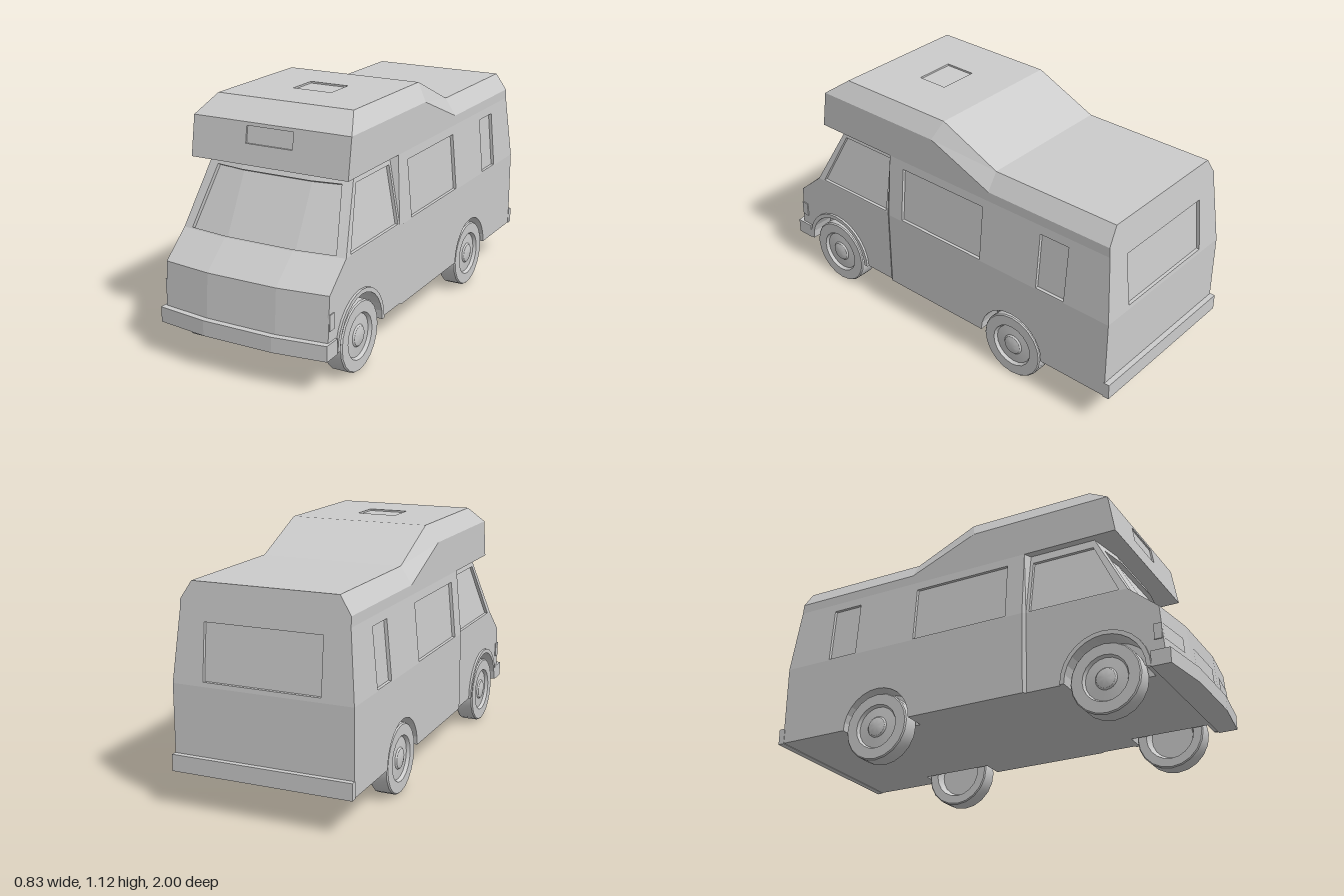
import * as THREE from 'three';
import { toCreasedNormals } from 'three/addons/utils/BufferGeometryUtils.js';

const shellMat = new THREE.MeshStandardMaterial({ color: 0xcccccc, flatShading: true, side: THREE.DoubleSide });
const solidMat = new THREE.MeshStandardMaterial({ color: 0xcccccc });
const FLOOR = 0.17, BELT = 0.55, EAVE = 0.86, NOSE_Y = 0.435;
const CAB_W = 0.405, CAB_TOP = 0.35, BODY_W = 0.415, BODY_TOP = 0.387, ROOF_W = 0.335;
const AXLES = [{ z: 0.675, r: 0.185, name: 'front' }, { z: -0.455, r: 0.175, name: 'rear' }];

const sub = (a, b) => a.map((v, i) => v - b[i]);
const add = (a, b) => a.map((v, i) => v + b[i]);
const dot = (a, b) => a[0] * b[0] + a[1] * b[1] + a[2] * b[2];
const cross = (a, b) => [a[1] * b[2] - a[2] * b[1], a[2] * b[0] - a[0] * b[2], a[0] * b[1] - a[1] * b[0]];

// Mesh from triangles, each turned to face along "out" (default: away from the cabin centre)
function mesh(name, tris, out) {
  const pos = [];
  for (const [a, b, c] of tris) {
    const dir = out || sub(a, [0, 0.55, Math.max(-0.7, Math.min(0.6, a[2]))]);
    const good = dot(cross(sub(b, a), sub(c, a)), dir) >= 0;
    pos.push(...a, ...(good ? b : c), ...(good ? c : b));
  }
  const g = new THREE.BufferGeometry();
  g.setAttribute('position', new THREE.Float32BufferAttribute(pos, 3));
  g.computeVertexNormals();
  const m = new THREE.Mesh(g, shellMat);
  m.name = name;
  return m;
}

// Triangles between consecutive rows of points
function loft(rows) {
  const t = [];
  for (let i = 0; i + 1 < rows.length; i++)
    for (let j = 0; j + 1 < rows[i].length; j++) {
      const a = rows[i][j], b = rows[i][j + 1], c = rows[i + 1][j + 1], d = rows[i + 1][j];
      t.push([a, b, c], [a, c, d]);
    }
  return t;
}

// Flat outline mapped into space; every hole becomes a recessed pane with reveals
function panel(name, outline, holes, map, out, depth = 0.015) {
  const g = new THREE.Group();
  g.name = name;
  const v2 = (l) => l.map(([u, v]) => new THREE.Vector2(u, v));
  const fill = (o, h, f) => {
    const all = [...o, ...h.flat()].map(([u, v]) => f(u, v));
    return THREE.ShapeUtils.triangulateShape(v2(o), h.map(v2)).map((t) => t.map((i) => all[i]));
  };
  g.add(mesh(name + 'Panel', fill(outline, holes, map), out));
  const inward = out.map((v) => -v * depth);
  for (const h of holes) {
    const rim = [...h, h[0]].map(([u, v]) => map(u, v));
    g.add(mesh(name + 'Reveal', loft([rim, rim.map((p) => add(p, inward))])));
    g.add(mesh(name + 'Pane', fill(h, [], (u, v) => add(map(u, v), inward)), out));
  }
  return g;
}

const rect = (u0, u1, v0, v1) => [[u0, v0], [u1, v0], [u1, v1], [u0, v1]];
const arc = (z, r, n = 14) => Array.from({ length: n + 1 }, (_, i) => {
  const a = Math.PI * i / n;
  return [z + r * Math.cos(a), FLOOR + r * Math.sin(a)];
});
const rearZ = (y) => -0.975 + Math.max(0, y - BELT) * 0.103;
const mix = (a, b, t) => a + (b - a) * t;
const upT = (y) => (y - BELT) / (EAVE - BELT);
// Front surfaces bow back towards the corners
const bowed = (x, y, z, w) => [x, y, z - 0.03 * Math.max(0, Math.abs(x) - 0.17) / (w - 0.17)];

function buildSide(s) {
  const g = new THREE.Group();
  g.name = s > 0 ? 'leftSide' : 'rightSide';
  const out = [s, 0, 0], [front, rear] = AXLES;
  const P = (x, y, z) => [s * x, y, z];
  // cab door and fender
  g.add(panel('cabLower', [[0.945, FLOOR], ...arc(front.z, front.r), [0.31, FLOOR], [0.31, BELT], [0.79, BELT], [0.925, NOSE_Y]], [],
    (u, v) => P(CAB_W, v, u), out));
  g.add(panel('cabWindow', [[0.31, BELT], [0.79, BELT], [0.625, EAVE], [0.31, EAVE]],
    [[[0.75, 0.555], [0.62, 0.82], [0.325, 0.82], [0.325, 0.555]]],
    (u, v) => P(mix(CAB_W, CAB_TOP, upT(v)), v, u), out));
  // step from cab to living area
  g.add(mesh('cabStep', loft([
    [P(CAB_W, FLOOR, 0.31), P(CAB_W, BELT, 0.31), P(CAB_TOP, EAVE, 0.31)],
    [P(BODY_W, FLOOR, 0.295), P(BODY_W, BELT, 0.295), P(BODY_TOP, EAVE, 0.295)]]), [s * 0.3, 0, 1]));
  // living area walls
  g.add(panel('bodyLower', [[0.295, FLOOR], ...arc(rear.z, rear.r), [-0.975, FLOOR], [-0.975, BELT], [0.295, BELT]], [],
    (u, v) => P(BODY_W, v, u), out));
  g.add(panel('bodyWindow', [[0.295, BELT], [-0.975, BELT], [rearZ(EAVE), EAVE], [0.295, EAVE]],
    [rect(-0.27, 0.21, 0.555, 0.82), rect(-0.74, -0.59, 0.555, 0.82)],
    (u, v) => P(mix(BODY_W, BODY_TOP, upT(v)), v, u), out));
  const eaves = [[0.71, 1.04], [0.03, 1.04], [-0.3, 0.905], [rearZ(0.905), 0.905]];
  const ridge = [[0.6, 1.12], [0, 1.12], [-0.3, 0.985], [rearZ(0.985), 0.985]];
  g.add(panel('bodyUpper', [[0.74, EAVE], ...eaves, [rearZ(EAVE), EAVE]], [], (u, v) => P(BODY_TOP, v, u), out));
  g.add(mesh('roofChamfer', loft([eaves.map(([z, y]) => P(BODY_TOP, y, z)), ridge.map(([z, y]) => P(ROOF_W, y, z))]), [s, 1, 0]));
  // wheel wells and wheels
  for (const { z, r, name } of AXLES) {
    const edge = arc(z, r), w = name === 'front' ? CAB_W : BODY_W;
    g.add(mesh(name + 'WheelWell', loft([edge.map(([u, v]) => P(w, v, u)), edge.map(([u, v]) => P(0.31, v, u))]), [0, -1, 0]));
    g.add(panel(name + 'WellWall', edge, [], (u, v) => P(0.31, v, u), out));
    g.add(buildWheel(name + 'Wheel', s, z));
  }
  // raised lip round the front arch
  const lip = [...arc(front.z, 0.205), ...arc(front.z, front.r).reverse()];
  const lipAt = (x) => lip.map(([u, v]) => P(x, v, u));
  g.add(panel('frontArchLip', lip, [], (u, v) => P(0.416, v, u), out));
  g.add(mesh('frontArchLipEdge', loft([lipAt(0.395), lipAt(0.416)])));
  // corner lamp
  const lamp = new THREE.Mesh(new THREE.BoxGeometry(0.014, 0.07, 0.035), solidMat);
  lamp.name = 'cornerLamp';
  lamp.position.set(s * 0.403, 0.32, 0.915);
  g.add(lamp);
  return g;
}

function buildWheel(name, s, z) {
  const profile = [[0, 0.355], [0.1, 0.355], [0.115, 0.32], [0.155, 0.32], [0.16, 0.325], [0.16, 0.402], [0.155, 0.408], [0.105, 0.408],
    [0.097, 0.393], [0.05, 0.397], [0.044, 0.404], [0.025, 0.409], [0, 0.41]];
  const lathe = new THREE.LatheGeometry(profile.map(([r, x]) => new THREE.Vector2(r, x)), 20);
  lathe.rotateZ(-Math.PI / 2);
  const m = new THREE.Mesh(toCreasedNormals(lathe, 0.5), solidMat);
  m.name = name;
  m.position.set(0, 0.162, z);
  if (s < 0) m.rotation.y = Math.PI;
  return m;
}

function buildFront() {
  const g = new THREE.Group();
  g.name = 'cabFront';
  const row = (y, z, w) => [-w, -0.17, 0.17, w].map((x) => bowed(x, y, z, w));
  const noseZ = (y) => mix(0.975, 0.955, (y - FLOOR) / (NOSE_Y - FLOOR));
  g.add(mesh('noseAndHood', loft([row(FLOOR, 0.975, CAB_W), row(NOSE_Y, 0.955, CAB_W), row(BELT, 0.82, CAB_W)]), [0, 0.4, 1]));
  // windscreen frame with recessed glass
  const screenRow = (y, glass) => {
    const w = mix(CAB_W, CAB_TOP, upT(y));
    return [-w, -glass, -0.17, 0.17, glass, w].map((x) => bowed(x, y, mix(0.82, 0.655, upT(y)), w));
  };
  const rows = [screenRow(BELT, 0.36), screenRow(0.556, 0.36), screenRow(0.816, 0.31), screenRow(EAVE, 0.31)];
  const [, lo, hi] = rows, up = [0, 0.47, 0.88];
  g.add(mesh('windscreenFrame', [...loft(rows.slice(0, 2)), ...loft(rows.slice(2)),
    ...loft([lo.slice(0, 2), hi.slice(0, 2)]), ...loft([lo.slice(4), hi.slice(4)])], up));
  const sink = (p) => add(p, [0, -0.009, -0.018]);
  const glass = [lo.slice(1, 5), hi.slice(1, 5)];
  const rim = [...glass[0], ...[...glass[1]].reverse(), glass[0][0]];
  g.add(mesh('windscreen', loft(glass.map((r) => r.map(sink))), up));
  g.add(mesh('windscreenReveal', loft([rim, rim.map(sink)])));
  // headlamps and number plate panel lie just proud of the nose
  const onNose = (name, x0, x1, y0, y1) => g.add(mesh(name, loft([y0, y1].map((y) =>
    [x0, x1].map((x) => add(bowed(x, y, noseZ(y), CAB_W), [0, 0, 0.003])))), [0, 0, 1]));
  onNose('leftHeadlamp', 0.225, 0.4, 0.285, 0.355);
  onNose('rightHeadlamp', -0.4, -0.225, 0.285, 0.355);
  onNose('plateHolder', -0.12, 0.12, 0.27, 0.35);
  // bumper bowed like the nose
  const plan = new THREE.Shape([[0.415, 0.88], [0.415, 0.967], [0.17, 1], [-0.17, 1], [-0.415, 0.967], [-0.415, 0.88]]
    .map(([x, z]) => new THREE.Vector2(x, z)));
  const bumper = new THREE.Mesh(new THREE.ExtrudeGeometry(plan, { depth: 0.07, bevelEnabled: false }), solidMat);
  bumper.name = 'frontBumper';
  bumper.rotation.x = Math.PI / 2;
  bumper.position.y = 0.235;
  g.add(bumper);
  return g;
}

export function createModel() {
  const model = new THREE.Group();
  model.name = 'camperVan';
  model.add(buildSide(1), buildSide(-1), buildFront());

  // sleeping alcove over the cab
  model.add(panel('alcoveFront', rect(-BODY_TOP, BODY_TOP, EAVE, 1.04), [rect(-0.115, 0.115, 0.95, 1.025)],
    (u, v) => [u, v, 0.74 - (v - EAVE) / 6], [0, 0, 1], 0.008));
  const across = (w, y, z) => [[-w, y, z], [w, y, z]];
  model.add(mesh('alcoveBrow', loft([across(BODY_TOP, 1.04, 0.71), across(ROOF_W, 1.12, 0.6)]), [0, 1, 1]));
  model.add(mesh('alcoveUnderside', loft([across(BODY_TOP, EAVE, 0.74), across(BODY_TOP, EAVE, 0.295)]), [0, -1, 0]));

  // roof with hatch, dropping towards the rear
  model.add(panel('roofFront', rect(-ROOF_W, ROOF_W, 0, 0.6), [rect(-0.095, 0.095, 0.22, 0.37)],
    (u, v) => [u, 1.12, v], [0, 1, 0], 0.008));
  model.add(mesh('roofRear', loft([across(ROOF_W, 1.12, 0), across(ROOF_W, 0.985, -0.3), across(ROOF_W, 0.985, rearZ(0.985))]), [0, 1, 0]));

  // rear wall and bumper
  model.add(panel('rearLower', rect(-BODY_W, BODY_W, FLOOR, BELT), [], (u, v) => [u, v, -0.975], [0, 0, -1]));
  const half = [[BODY_W, BELT], [BODY_TOP, EAVE], [BODY_TOP, 0.905], [ROOF_W, 0.985]];
  model.add(panel('rearWindow', [...half, ...half.map(([x, y]) => [-x, y]).reverse()], [rect(-0.27, 0.27, 0.57, 0.82)],
    (u, v) => [u, v, rearZ(v)], [0, 0, -1]));
  const bumper = new THREE.Mesh(new THREE.BoxGeometry(0.834, 0.075, 0.03), solidMat);
  bumper.name = 'rearBumper';
  bumper.position.set(0, 0.205, -0.985);
  model.add(bumper);

  // underfloor notched for the wheels
  const edge = [[CAB_W, 0.945]];
  for (const { z, r } of AXLES) {
    const w = z > 0 ? CAB_W : BODY_W;
    edge.push([w, z + r], [0.31, z + r], [0.31, z - r], [w, z - r]);
    if (z > 0) edge.push([CAB_W, 0.31], [BODY_W, 0.295]);
  }
  edge.push([BODY_W, -0.975]);
  const outline = [[0.17, 0.975], ...edge];
  model.add(panel('underfloor', [...outline, ...outline.map(([x, z]) => [-x, z]).reverse()], [],
    (u, v) => [u, FLOOR, v], [0, -1, 0]));
  return model;
}
